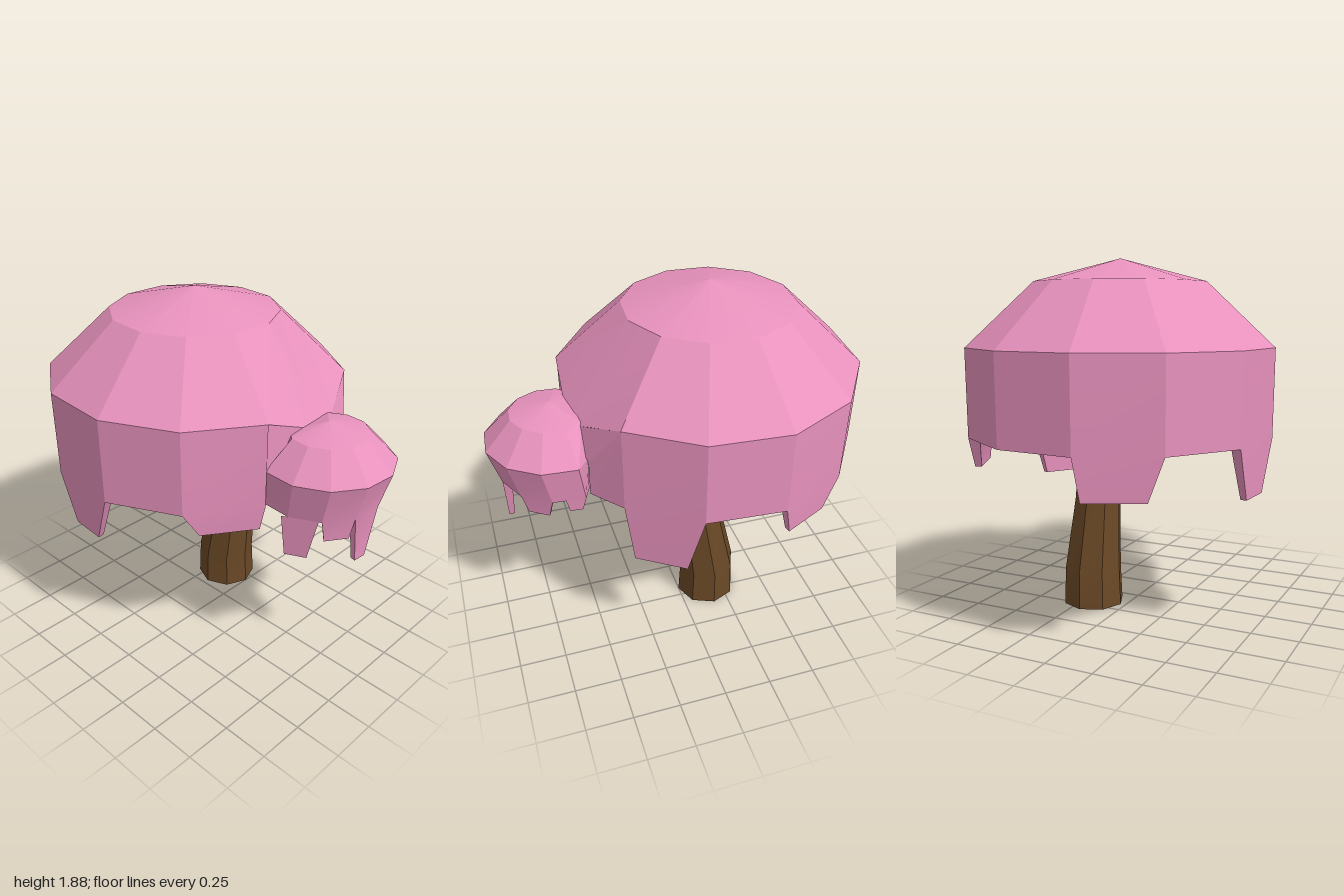
import * as THREE from 'three';
import { toCreasedNormals } from 'three/addons/utils/BufferGeometryUtils.js';

const pink = new THREE.MeshStandardMaterial({ color: 0xe892bd });
const thinPink = new THREE.MeshStandardMaterial({ color: 0xe892bd, side: THREE.DoubleSide });
const bark = new THREE.MeshStandardMaterial({ color: 0x6a4826, side: THREE.DoubleSide });
const V = (x, y, z) => new THREE.Vector3(x, y, z);
const SIDES = 12, PHASE = -0.19;

// Collects quads and triangles, corners counter-clockwise seen from outside
function builder() {
  const pos = [];
  const tri = (a, b, c) => [a, b, c].forEach(p => pos.push(p.x, p.y, p.z));
  const quad = (a, b, c, d) => { tri(a, b, c); tri(a, c, d); };
  const mesh = (name, material) => {
    const g = new THREE.BufferGeometry();
    g.setAttribute('position', new THREE.Float32BufferAttribute(pos, 3));
    const m = new THREE.Mesh(toCreasedNormals(g, 0.32), material);
    m.name = name;
    return m;
  };
  return { tri, quad, mesh };
}

// Hollow blossom dome with hanging tabs.
// outer / inner: [radius, y, x shift] from the rim up; the last entry is the apex.
// open: sides without a wall. tabs: [side, bottom y, bottom from, bottom to, top from, top to]
function canopy(name, { cx, cz, outer, inner, tabs, open, minX = -9, dip = 0 }) {
  const b = builder();
  const point = (profile, level, i) => {
    const [r, y, dx = 0] = profile[level];
    const a = PHASE + (i % SIDES) * Math.PI * 2 / SIDES;
    const lowered = profile === outer && level === 1 && i % SIDES === 0 ? dip : 0;
    return V(Math.max(minX, cx + dx + r * Math.cos(a)), y - lowered, cz + r * Math.sin(a));
  };
  const top = outer.length - 1, roof = inner.length - 1;
  for (let i = 0; i < SIDES; i++) {
    const first = open.includes(i) ? 1 : 0;
    for (let k = first; k < top - 1; k++)
      b.quad(point(outer, k, i + 1), point(outer, k, i), point(outer, k + 1, i), point(outer, k + 1, i + 1));
    for (let k = first; k < roof - 1; k++)
      b.quad(point(inner, k, i), point(inner, k, i + 1), point(inner, k + 1, i + 1), point(inner, k + 1, i));
    b.tri(point(outer, top - 1, i + 1), point(outer, top - 1, i), point(outer, top, 0));
    b.tri(point(inner, roof - 1, i), point(inner, roof - 1, i + 1), point(inner, roof, 0));
    // Rim
    if (!first) b.quad(point(outer, 0, i), point(outer, 0, i + 1), point(inner, 0, i + 1), point(inner, 0, i));
  }
  // Hanging tabs: tapered and slightly thinner at the bottom
  for (const [i, y, b0, b1, t0 = 0, t1 = 1] of tabs) {
    const at = (profile, t) => point(profile, 0, i).lerp(point(profile, 0, i + 1), t);
    const low = (profile, other, t) => at(profile, t).lerp(at(other, t), 0.2).setY(y);
    const [o0, o1, n0, n1] = [at(outer, t0), at(outer, t1), at(inner, t0), at(inner, t1)];
    const [p0, p1] = [low(outer, inner, b0), low(outer, inner, b1)];
    const [q0, q1] = [low(inner, outer, b0), low(inner, outer, b1)];
    b.quad(p1, p0, o0, o1);
    b.quad(q0, q1, n1, n0);
    b.quad(p0, q0, n0, o0);
    b.quad(q1, p1, o1, n1);
    b.quad(p0, p1, q1, q0);
  }
  return b.mesh(name, pink);
}

// Thin skin joining the open sides of the two canopies
function canopyNeck() {
  const b = builder();
  const frontTop = V(0.542, 1.43, 0.265), frontLow = V(0.54, 1.175, 0.265), middle = V(0.577, 1.27, -0.153);
  const backTop = V(0.391, 1.43, -0.528), backLow = V(0.391, 0.975, -0.524);
  const sideTop = V(0.525, 1.175, -0.37), sideLow = V(0.525, 0.975, -0.36);
  b.tri(frontTop, frontLow, middle);
  b.tri(middle, sideTop, backTop);
  b.quad(sideLow, backLow, backTop, sideTop);
  return b.mesh('canopyNeck', thinPink);
}

// Tapered limb, open at its root, through stations [x, y, z, radius]
function limb(name, stations, sides, ref) {
  const b = builder();
  const centres = stations.map(s => V(s[0], s[1], s[2]));
  const last = stations.length - 1;
  const rings = stations.map((s, k) => {
    const t = centres[Math.min(k + 1, last)].clone().sub(centres[Math.max(k - 1, 0)]).normalize();
    if (s[1] === 0) t.set(0, 1, 0);
    const u = V().crossVectors(ref, t).normalize();
    const w = V().crossVectors(t, u);
    return Array.from({ length: sides }, (_, i) => {
      const a = i / sides * Math.PI * 2;
      return centres[k].clone().addScaledVector(u, s[3] * Math.cos(a)).addScaledVector(w, s[3] * Math.sin(a));
    });
  });
  for (let i = 0; i < sides; i++) {
    const j = (i + 1) % sides;
    for (let k = 0; k < last; k++) b.quad(rings[k][i], rings[k][j], rings[k + 1][j], rings[k + 1][i]);
    b.tri(rings[last][i], rings[last][j], centres[last]);
  }
  return b.mesh(name, bark);
}

export function createModel() {
  const tree = new THREE.Group();
  tree.name = 'blossomTree';

  tree.add(canopy('mainCanopy', {
    cx: -0.212, cz: 0, dip: 0.16, open: [11, 0],
    outer: [[0.797, 0.975], [0.803, 1.43], [0.452, 1.76], [0, 1.88]],
    inner: [[0.74, 0.975], [0.68, 1.12], [0.58, 1.21], [0.49, 1.23], [0.43, 1.45], [0, 1.6]],
    tabs: [
      [1, 0.845, 0.05, 0.8],
      [3, 0.71, 0.25, 0.74],
      [5, 0.765, 0.18, 0.92],
      [8, 0.81, 0.24, 0.89],
      [10, 0.645, 0.21, 0.9],
    ],
  }));

  // Side canopy, cut off where it meets the main one
  tree.add(canopy('sideCanopy', {
    cx: 0.648, cz: -0.07, minX: 0.52, open: [4, 5, 6, 7],
    outer: [[0.325, 0.975, -0.035], [0.352, 1.175], [0.21, 1.32], [0, 1.37]],
    inner: [[0.275, 0.975, -0.035], [0.29, 1.13], [0.17, 1.24], [0, 1.28]],
    tabs: [
      [0, 0.71, 0.35, 0.8],
      [1, 0.86, 0.12, 0.9],
      [2, 0.75, 0.4, 1.1, 0.1, 1.2],
      [9, 0.9, 0.1, 0.5, 0, 0.6],
      [10, 0.88, 0.15, 0.85],
    ],
  }));
  tree.add(canopyNeck());

  const front = V(0, 0, 1), up = V(0, 1, 0);
  tree.add(limb('trunk', [
    [-0.167, 0, -0.197, 0.168], [-0.168, 0.2, -0.197, 0.16],
    [-0.11, 0.58, -0.197, 0.13], [-0.12, 0.85, -0.19, 0.11], [-0.11, 0.97, -0.175, 0.09],
  ], 8, front));

  // Branches reaching up into the canopies
  const branches = {
    rightHandBranch: [[-0.14, 0.87, -0.19, 0.09], [0.1, 1.02, -0.13, 0.08], [0.35, 1.17, -0.06, 0.05], [0.55, 1.16, 0.02, 0.015]],
    backBranch: [[-0.1, 0.92, -0.18, 0.085], [-0.34, 1.07, -0.29, 0.055], [-0.62, 1.16, -0.4, 0.015]],
    frontBranch: [[-0.11, 0.92, -0.2, 0.085], [-0.16, 1.03, 0.1, 0.06], [-0.2, 1.06, 0.42, 0.02]],
    forkTwig: [[0.2, 1.09, -0.1, 0.04], [0.28, 1.2, -0.28, 0.012]],
    backTwig: [[-0.45, 1.11, -0.33, 0.025], [-0.47, 1.16, -0.25, 0.02], [-0.48, 1.26, -0.22, 0.01]],
  };
  for (const [name, stations] of Object.entries(branches)) tree.add(limb(name, stations, 6, up));

  return tree;
}
